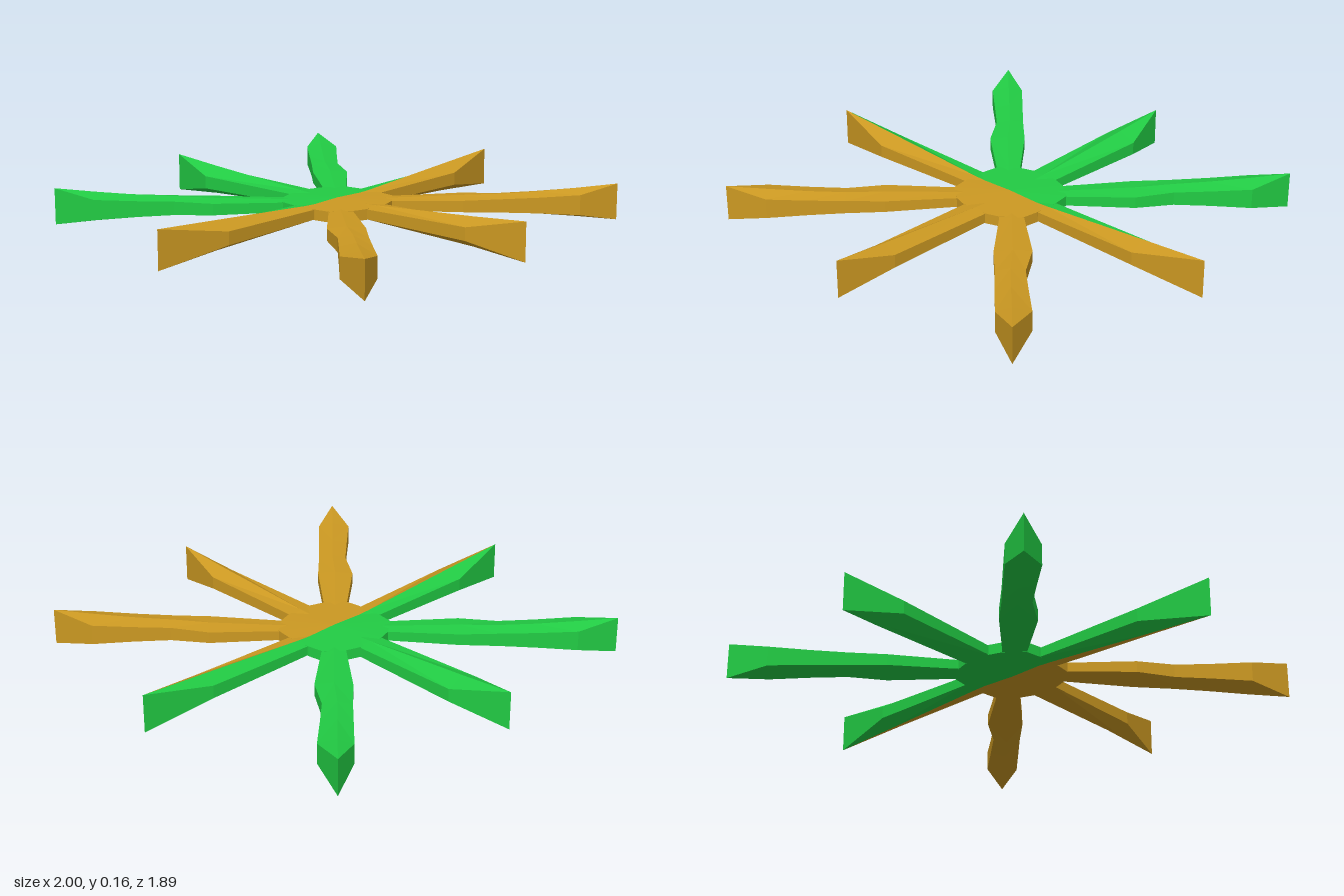
import * as THREE from 'three';

const MID = 0.084; // height of the flat middle plane
const material = (color) => new THREE.MeshStandardMaterial({ color, flatShading: true });
const GREEN = material(0x22cc44);
const ORANGE = material(0xcc9922);

function meshFrom(points, mat, name) {
  const geo = new THREE.BufferGeometry().setFromPoints(points);
  geo.computeVertexNormals();
  const mesh = new THREE.Mesh(geo, mat);
  mesh.name = name;
  return mesh;
}

// One side of an arm. Stations: [radius, ridge offset, edge offset, edge half height, ridge half height]
function halfArm(stations, angle, flip, mat, name) {
  const c = Math.cos(angle), s = Math.sin(angle);
  const at = (r, w, y) => new THREE.Vector3(c * r - s * w, MID + y, s * r + c * w);
  const rings = stations.map(([r, mid, edge, h, H]) =>
    [at(r, mid, H), at(r, edge, h), at(r, edge, -h), at(r, mid, -H)]);
  const out = [];
  const tri = (a, b, d) => {
    if (a.distanceTo(b) < 1e-6 || b.distanceTo(d) < 1e-6 || a.distanceTo(d) < 1e-6) return;
    out.push(...(flip ? [a, d, b] : [a, b, d]));
  };
  for (let i = 0; i + 1 < rings.length; i++) {
    for (let j = 0; j < 3; j++) {
      const [p, q, r, t] = [rings[i][j], rings[i][j + 1], rings[i + 1][j + 1], rings[i + 1][j]];
      tri(p, q, r);
      tri(p, r, t);
    }
  }
  return meshFrom(out, mat, name);
}

// Straight spear: root, shoulder, upright blade tip
const straightSide = (root, shoulder, tip, sign) => [
  [0.05, 0, sign * root, 0.018, 0.02],
  [0.2, 0, sign * root, 0.02, 0.026],
  [0.7, 0, sign * shoulder, 0.027, 0.06],
  [tip, 0, 0, 0.08, 0.08],
];

// Wavy diagonal spear: [radius, ridge, outer edge, inner edge, edge half height, ridge half height]
const WAVY = [
  [0.1, 0, 0.05, -0.05, 0.018, 0.02],
  [0.23, 0, 0.05, -0.05, 0.02, 0.024],
  [0.51, 0.004, 0.078, -0.072, 0.024, 0.032],
  [0.67, 0.018, 0.077, -0.04, 0.028, 0.038],
  [0.82, 0.02, 0.08, -0.045, 0.033, 0.046],
  [0.99, 0.022, 0.083, -0.052, 0.042, 0.06],
  [1.155, 0.025, 0.025, 0.025, 0.076, 0.076],
];

// Half of the hub: a shallow faceted disc on one side of z = 0
function halfHub(side, mat, name) {
  const quarter = [[0.205, 0], [0.205, 0.06], [0.195, 0.13], [0.12, 0.19], [0.06, 0.21], [0, 0.21]];
  const rim = [...quarter, ...quarter.slice(0, -1).reverse().map(([x, z]) => [-x, z])];
  const v = (x, y, z) => new THREE.Vector3(x, MID + y, side * z);
  const top = v(0, 0.028, 0), bottom = v(0, -0.028, 0), out = [];
  const tri = (a, b, c) => out.push(...(side > 0 ? [a, b, c] : [a, c, b]));
  for (let i = 0; i + 1 < rim.length; i++) {
    const [[x0, z0], [x1, z1]] = [rim[i], rim[i + 1]];
    const a = v(x0, 0.022, z0), b = v(x1, 0.022, z1);
    const c = v(x0, -0.022, z0), d = v(x1, -0.022, z1);
    tri(top, b, a);
    tri(bottom, c, d);
    tri(a, b, d);
    tri(a, d, c);
  }
  return meshFrom(out, mat, name);
}

export function createModel() {
  const model = new THREE.Group();
  model.name = 'eightPointedStar';
  model.add(halfHub(1, ORANGE, 'frontHub'), halfHub(-1, GREEN, 'backHub'));

  // Straight arms: [name, angle, root, shoulder on + side, shoulder on - side, tip radius, + side, - side]
  const straight = [
    ['leftArm', 0, 0.055, 0.063, 0.052, 1, ORANGE, GREEN],
    ['frontArm', Math.PI / 2, 0.06, 0.055, 0.055, 0.945, ORANGE, ORANGE],
    ['rightArm', Math.PI, 0.055, 0.06, 0.07, 1, GREEN, ORANGE],
    ['backArm', -Math.PI / 2, 0.062, 0.075, 0.075, 0.945, GREEN, GREEN],
  ];
  for (const [name, angle, root, plus, minus, tip, matPlus, matMinus] of straight) {
    const arm = new THREE.Group();
    arm.name = name;
    arm.add(halfArm(straightSide(root, plus, tip, 1), angle, false, matPlus, name + 'SideA'));
    arm.add(halfArm(straightSide(root, minus, tip, -1), angle, true, matMinus, name + 'SideB'));
    model.add(arm);
  }

  // Diagonal arms, mirrored from quadrant to quadrant
  ['frontLeftArm', 'frontRightArm', 'backRightArm', 'backLeftArm'].forEach((name, i) => {
    const angle = Math.PI / 4 + i * Math.PI / 2;
    const m = i % 2 ? -1 : 1;
    const mat = i < 2 ? ORANGE : GREEN;
    const outer = WAVY.map(([r, mid, a, , h, H]) => [r, m * mid, m * a, h, H]);
    const inner = WAVY.map(([r, mid, , b, h, H]) => [r, m * mid, m * b, h, H]);
    const arm = new THREE.Group();
    arm.name = name;
    arm.add(halfArm(outer, angle, m < 0, mat, name + 'SideA'));
    arm.add(halfArm(inner, angle, m > 0, mat, name + 'SideB'));
    model.add(arm);
  });
  return model;
}
